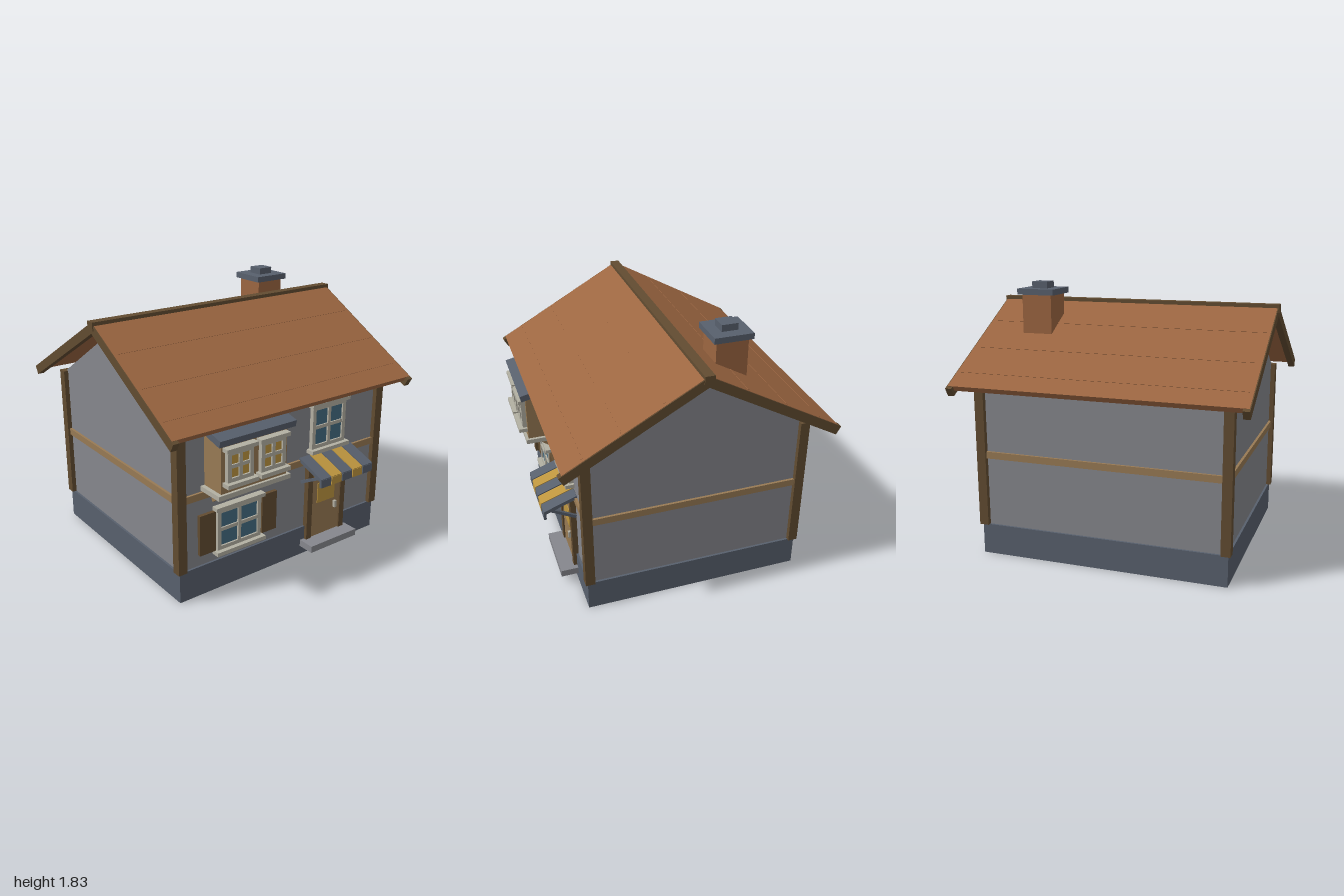
import * as THREE from 'three';

const mat = (name, color, side = THREE.FrontSide) => {
  const m = new THREE.MeshStandardMaterial({ color, side });
  m.name = name;
  return m;
};

export function createModel() {
  const house = new THREE.Group();
  house.name = 'house';

  const stone = mat('slate stone', 0x58606d);
  const plaster = mat('grey plaster', 0x86878d);
  const dark = mat('dark timber', 0x624c31);
  const light = mat('light timber', 0x987a54);
  const tile = mat('roof tile', 0x9c6641);
  const trim = mat('pale trim', 0xb3b0a3);
  const glass = mat('blue glass', 0x456c82);
  const amber = mat('amber', 0xbd953f);

  // Box given by its limits on each axis
  const box = (parent, name, material, x0, x1, y0, y1, z0, z1) => {
    const mesh = new THREE.Mesh(new THREE.BoxGeometry(x1 - x0, y1 - y0, z1 - z0), material);
    mesh.position.set((x0 + x1) / 2, (y0 + y1) / 2, (z0 + z1) / 2);
    mesh.name = name;
    parent.add(mesh);
    return mesh;
  };
  const group = (parent, name, x = 0, y = 0, z = 0) => {
    const g = new THREE.Group();
    g.name = name;
    g.position.set(x, y, z);
    parent.add(g);
    return g;
  };

  // Sloping bar in the yz plane, from (z0, y0) to (z1, y1), centred on its axis
  const bar = (parent, name, material, x0, x1, z0, y0, z1, y1, t) => {
    const mesh = new THREE.Mesh(
      new THREE.BoxGeometry(x1 - x0, t, Math.hypot(z1 - z0, y1 - y0)), material);
    mesh.position.set((x0 + x1) / 2, (y0 + y1) / 2, (z0 + z1) / 2);
    mesh.rotation.x = -Math.atan2(y1 - y0, z1 - z0);
    mesh.name = name;
    parent.add(mesh);
    return mesh;
  };

  // Body, centred on the ridge line
  const body = group(house, 'body', 0, 0, -0.02);
  box(body, 'foundation', stone, -0.855, 0.855, 0, 0.21, -0.745, 0.745);
  box(body, 'walls', plaster, -0.84, 0.84, 0.21, 1.165, -0.73, 0.73);
  const tri = new THREE.Shape([
    new THREE.Vector2(-0.73, 1.165), new THREE.Vector2(0.73, 1.165), new THREE.Vector2(0, 1.617)]);
  const gable = new THREE.Mesh(
    new THREE.ExtrudeGeometry(tri, { depth: 1.68, bevelEnabled: false }), plaster);
  gable.rotation.y = Math.PI / 2;
  gable.position.x = -0.84;
  gable.name = 'gables';
  body.add(gable);

  // Corner posts and floor beams
  for (const s of [-1, 1]) {
    for (const t of [-1, 1]) {
      const x = s * 0.84, z = t * 0.73;
      box(body, 'cornerPost', dark, x - 0.032, x + 0.032, 0.21, 1.17, z - 0.032, z + 0.032);
    }
    box(body, 'sideBeam', light, s * 0.84 - 0.017, s * 0.84 + 0.017, 0.68, 0.727, -0.7, 0.7);
    box(body, 'longBeam', light, -0.81, 0.81, 0.68, 0.727, s * 0.73 - 0.017, s * 0.73 + 0.017);
  }

  // Roof: two equal slopes with barge boards under a ridge beam
  const roof = group(house, 'roof', 0, 1.69, -0.02);
  const pitch = Math.atan(0.557);
  for (const turn of [0, Math.PI]) {
    const side = group(roof, 'roofSide');
    side.rotation.y = turn;
    const slope = group(side, 'slope');
    slope.rotation.x = pitch;
    box(slope, 'roofSlab', tile, -0.985, 0.985, -0.035, 0.002, 0, 1.023);
    for (const z of [0.3, 0.605, 0.875])
      box(slope, 'tileCourse', tile, -0.96, 0.96, 0, 0.004, z - 0.006, z + 0.006);
    for (const s of [-1, 1])
      box(slope, 'bargeBoard', dark, s * 0.969 - 0.022, s * 0.969 + 0.022, -0.062, 0, 0, 1.047);
  }
  box(roof, 'ridgeBeam', dark, -0.998, 0.998, -0.047, 0.008, -0.032, 0.032);

  // Chimney
  const chimney = group(house, 'chimney', 0.585, 0, -0.288);
  box(chimney, 'stack', tile, -0.105, 0.105, 1.3, 1.745, -0.107, 0.107);
  box(chimney, 'cap', stone, -0.131, 0.131, 1.745, 1.785, -0.131, 0.131);
  box(chimney, 'flue', stone, -0.055, 0.055, 1.785, 1.83, -0.055, 0.055);

  // Framed window with cross bars, lintel and sill; z is the surface behind it
  const addWindow = (name, x, y, w, h, z, pane, reach, over = 0.02) => {
    const g = group(house, name, x, y, z);
    const a = w / 2, b = h / 2, f = 0.028, d = 0.03;
    for (const s of [-1, 1]) {
      const fx = s * (a - f / 2), fy = s * (b - f / 2);
      box(g, 'frameSide', trim, fx - f / 2, fx + f / 2, -b, b, 0, d);
      box(g, 'frameEnd', trim, -a + f, a - f, fy - f / 2, fy + f / 2, 0, d);
    }
    box(g, 'pane', pane, -a + f, a - f, -b + f, b - f, 0.01, 0.018);
    box(g, 'uprightBar', trim, -0.012, 0.012, -b + f, b - f, 0.012, d);
    box(g, 'crossBar', trim, -a + f, a - f, -0.012, 0.012, 0.012, d - 0.002);
    box(g, 'lintel', trim, -a - over, a + over, b - 0.002, b + 0.023, 0, reach - 0.01);
    box(g, 'sill', trim, -a - over, a + over, -b - 0.025, -b + 0.002, 0, reach);
  };
  addWindow('upperWindow', 0.364, 0.937, 0.3, 0.305, 0.71, glass, 0.06);
  addWindow('lowerWindow', -0.396, 0.43, 0.352, 0.29, 0.71, glass, 0.06);
  for (const x of [-0.645, -0.144])
    box(house, 'shutter', dark, x - 0.061, x + 0.061, 0.29, 0.57, 0.7, 0.735);

  // Bay window
  box(house, 'bayBody', light, -0.652, -0.14, 0.765, 1.11, 0.7, 0.884);
  box(house, 'baySill', trim, -0.68, -0.118, 0.735, 0.767, 0.7, 0.902);
  bar(house, 'bayRoof', stone, -0.69, -0.102, 0.7, 1.166, 0.922, 1.112, 0.045);
  for (const x of [-0.525, -0.27])
    addWindow('bayWindow', x, 0.945, 0.195, 0.205, 0.884, amber, 0.06);
  for (const x of [-0.578, -0.219])
    bar(house, 'bayBracket', light, x - 0.021, x + 0.021, 0.71, 0.655, 0.815, 0.735, 0.045);

  // Door, frame and step
  const door = group(house, 'door');
  for (const x of [0.209, 0.518])
    box(door, 'doorPost', dark, x - 0.022, x + 0.022, 0.042, 0.66, 0.7, 0.748);
  box(door, 'doorHead', dark, 0.231, 0.496, 0.62, 0.66, 0.7, 0.748);
  box(door, 'threshold', dark, 0.231, 0.496, 0.042, 0.065, 0.7, 0.748);
  box(door, 'doorLeaf', light, 0.231, 0.496, 0.065, 0.62, 0.7, 0.737);
  box(door, 'doorPane', amber, 0.283, 0.444, 0.366, 0.516, 0.735, 0.742);
  box(door, 'handle', trim, 0.438, 0.458, 0.29, 0.34, 0.735, 0.757);
  box(door, 'step', plaster, 0.15, 0.575, 0.065, 0.113, 0.7, 0.845);

  // Striped awning with struts
  const awning = group(house, 'awning');
  for (let i = 0; i < 5; i++) {
    const x = 0.171 + i * 0.0963, m = i % 2 ? amber : stone;
    bar(awning, 'awningStripe', m, x - 0.044, x + 0.044, 0.71, 0.73, 0.93, 0.65, 0.024);
    box(awning, 'valance', m, x - 0.044, x + 0.044, 0.6, 0.655, 0.918, 0.935);
  }
  for (const x of [0.15, 0.573])
    bar(awning, 'strut', stone, x - 0.01, x + 0.01, 0.72, 0.56, 0.9, 0.656, 0.02);

  return house;
}
